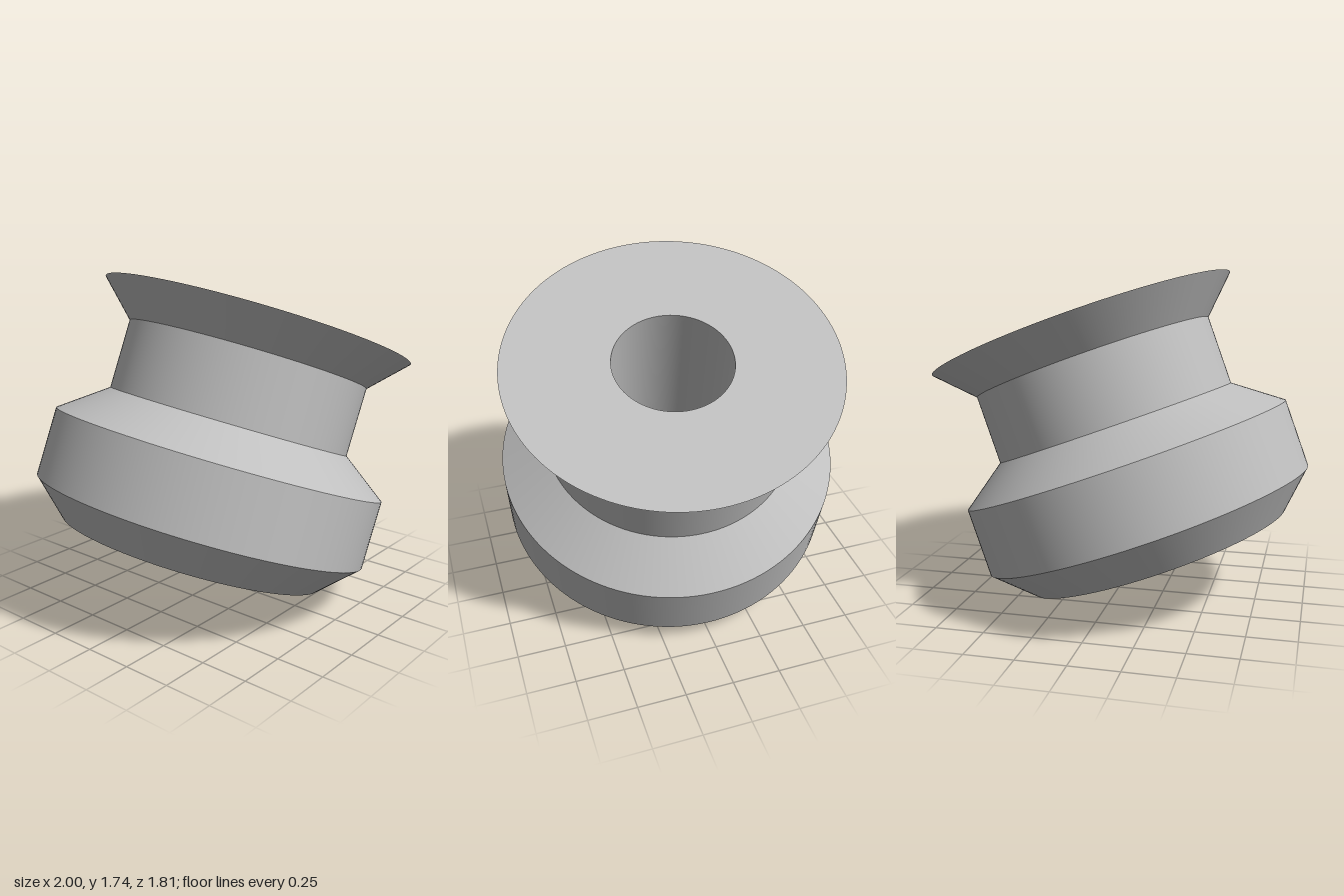
import * as THREE from 'three';
import { toCreasedNormals } from 'three/addons/utils/BufferGeometryUtils.js';

export function createModel() {
  const group = new THREE.Group();
  group.name = 'flangedRoller';

  const grey = new THREE.MeshStandardMaterial({ color: 0xbfbfbf });
  grey.name = 'plain grey';

  // Closed [radius, height] section: underside, wide band, neck, flared flange, bore
  const bore = 0.3;
  const height = 1.267;
  const section = [
    [bore, 0], [0.707, 0], [0.893, 0.182], [0.893, 0.54], [0.653, 0.717],
    [0.653, 1.084], [0.835, height], [bore, height], [bore, 0],
  ].map(([r, y]) => new THREE.Vector2(r, y));

  const geometry = toCreasedNormals(new THREE.LatheGeometry(section, 128), 0.35);
  const roller = new THREE.Mesh(geometry, grey);
  roller.name = 'rollerBody';

  // Lean the spin axis to the model's left and slightly forward
  const axis = new THREE.Vector3(0.3553, 0.932, 0.0718).normalize();
  roller.quaternion.setFromUnitVectors(new THREE.Vector3(0, 1, 0), axis);
  roller.position.set(-0.23, 0.2525, -0.025);

  group.add(roller);
  return group;
}
